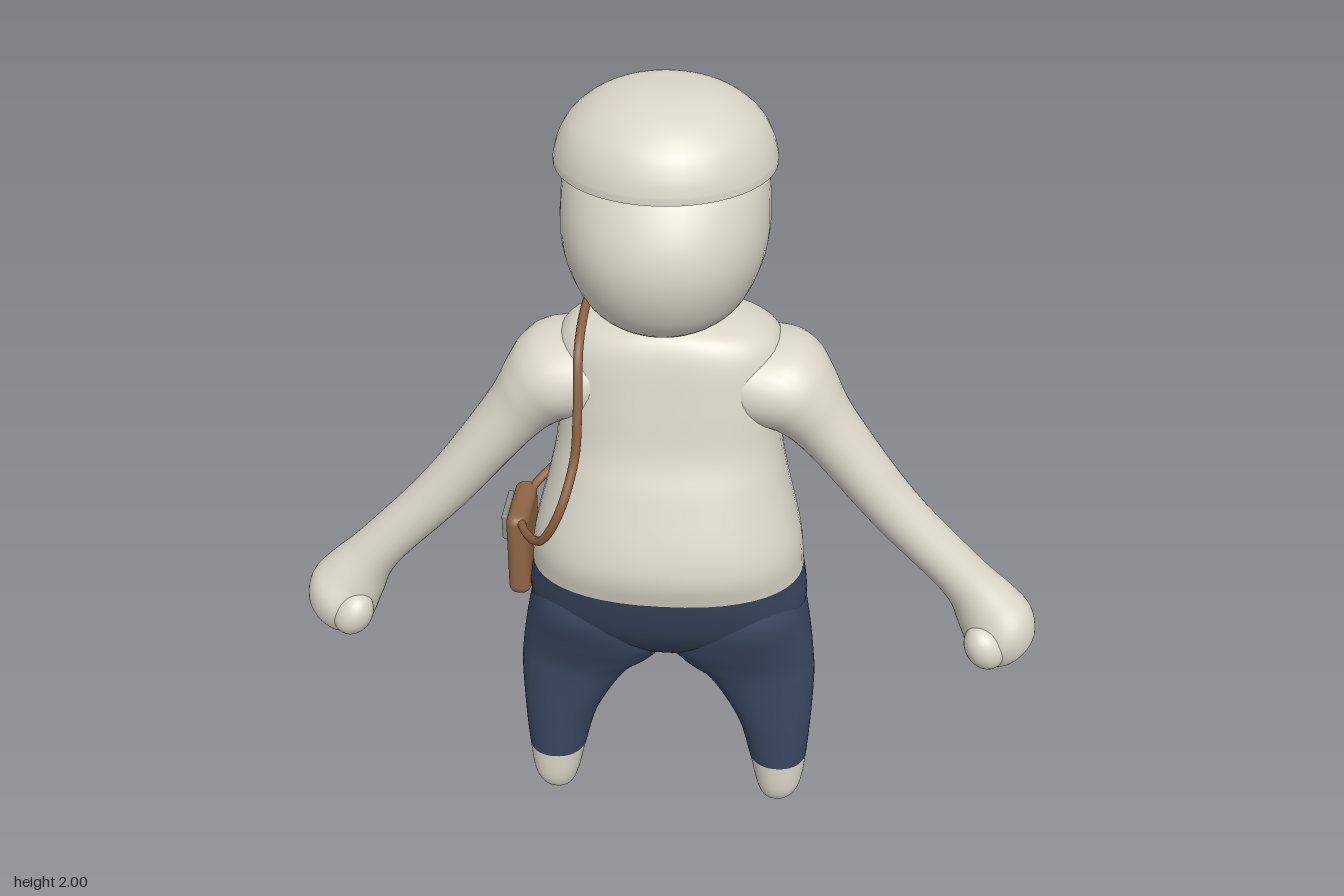
import * as THREE from 'three';
import { RoundedBoxGeometry } from 'three/addons/geometries/RoundedBoxGeometry.js';

const paint = (name, color) => {
  const m = new THREE.MeshStandardMaterial({ color });
  m.name = name;
  return m;
};

// Smooth skin through rings [x, y, z, radiusU, radiusV, squareness].
// The rings run along u x v; matOf gives the material index of each span.
function loft(rings, u, v, matOf = () => 0, sides = 48, steps = 6) {
  const centres = new THREE.CatmullRomCurve3(rings.map(r => new THREE.Vector3(r[0], r[1], r[2])), false, 'catmullrom');
  const sizes = new THREE.CatmullRomCurve3(rings.map(r => new THREE.Vector3(r[3], r[4], r[5] ?? 2)), false, 'catmullrom');
  const pow = (c, n) => Math.sign(c) * Math.abs(c) ** (2 / n);
  const pos = [], index = [], geo = new THREE.BufferGeometry();
  const rows = (rings.length - 1) * steps;
  for (let i = 0; i <= rows; i++) {
    const c = centres.getPoint(i / rows), s = sizes.getPoint(i / rows);
    for (let j = 0; j < sides; j++) {
      const a = (j / sides) * Math.PI * 2;
      const p = c.clone()
        .addScaledVector(u, Math.max(s.x, 0) * pow(Math.cos(a), s.z))
        .addScaledVector(v, Math.max(s.y, 0) * pow(Math.sin(a), s.z));
      pos.push(p.x, p.y, p.z);
    }
  }
  for (let i = 0; i < rows; i++) {
    geo.addGroup(index.length, sides * 6, matOf(Math.floor(i / steps)));
    for (let j = 0; j < sides; j++) {
      const k = (j + 1) % sides;
      const a = i * sides + j, b = i * sides + k, c = b + sides, d = a + sides;
      index.push(a, b, c, a, c, d);
    }
  }
  geo.setAttribute('position', new THREE.Float32BufferAttribute(pos, 3));
  geo.setIndex(index);
  geo.computeVertexNormals();
  return geo;
}

// Level ring given by its left/right and front/back limits
const level = (y, x0, x1, zf, zb, n) => [(x0 + x1) / 2, y, (zf + zb) / 2, (x1 - x0) / 2, (zf - zb) / 2, n];

export function createModel() {
  const model = new THREE.Group();
  const skin = paint('cream', 0xd9d6c8);
  const navy = paint('navy', 0x3a4760);
  const leather = paint('brown leather', 0x8f6444);
  const metal = paint('grey metal', 0x8c8c88);
  const add = (name, geo, mat, parent = model) => {
    const m = new THREE.Mesh(geo, mat);
    m.name = name;
    parent.add(m);
    return m;
  };
  const X = new THREE.Vector3(1, 0, 0), back = new THREE.Vector3(0, 0, -1);

  // Hips, torso, neck and head in one skin: height, half width, front, back, squareness
  const body = [
    [0.45, 0, -0.05, -0.05, 2], [0.47, 0.13, 0, -0.1, 2], [0.53, 0.27, 0.07, -0.18, 2.1],
    [0.62, 0.343, 0.13, -0.25, 2.2], [0.74, 0.335, 0.17, -0.28, 2.3], [0.84, 0.325, 0.183, -0.275, 2.3],
    [1, 0.285, 0.13, -0.27, 2.4], [1.1, 0.268, 0.09, -0.272, 2.5], [1.22, 0.268, 0.065, -0.28, 2.6],
    [1.32, 0.265, 0.045, -0.278, 2.5], [1.37, 0.225, 0.025, -0.255, 2.3], [1.395, 0.14, 0, -0.22, 2],
    [1.412, 0.072, -0.02, -0.195, 2], [1.44, 0.085, 0.04, -0.195, 2], [1.47, 0.13, 0.16, -0.203, 2],
    [1.53, 0.183, 0.245, -0.218, 2.1], [1.63, 0.222, 0.288, -0.24, 2.1], [1.73, 0.23, 0.28, -0.246, 2.1],
    [1.84, 0.213, 0.22, -0.215, 2], [1.92, 0.15, 0.14, -0.13, 2], [1.95, 0, 0.01, 0.01, 2],
  ];
  add('body', loft(body.map(([y, r, f, b, n]) => level(y, -r, r, f, b, n)), X, back, s => (s < 4 ? 1 : 0)), [skin, navy]);

  // Cap
  const dome = new THREE.SplineCurve([[0.243, 1.845], [0.232, 1.885], [0.205, 1.93], [0.15, 1.972], [0.08, 1.994], [0, 2]]
    .map(p => new THREE.Vector2(...p))).getPoints(24);
  const cap = add('cap', new THREE.LatheGeometry([new THREE.Vector2(0.243, 1.832), ...dome], 48), skin);
  cap.position.z = 0.02;
  const brim = add('capUnderside', new THREE.CircleGeometry(0.243, 48), skin);
  brim.position.set(0, 1.832, 0.02);
  brim.rotation.x = Math.PI / 2;

  for (const [name, s] of [['left', 1], ['right', -1]]) {
    // Trouser leg with bare foot: height, inner, outer, front, back
    const leg = [
      [0.004, 0.29, 0.29, -0.035, -0.035], [0.008, 0.255, 0.325, 0.01, -0.08], [0.05, 0.236, 0.352, 0.038, -0.106],
      [0.14, 0.215, 0.364, 0.045, -0.12], [0.27, 0.178, 0.372, 0.05, -0.125], [0.4, 0.1, 0.375, 0.055, -0.132],
      [0.46, 0.025, 0.371, 0.065, -0.15], [0.53, -0.02, 0.362, 0.09, -0.19], [0.62, 0.02, 0.345, 0.115, -0.235],
      [0.7, 0.06, 0.32, 0.1, -0.2],
    ].map(([y, a, b, f, k]) => level(y, Math.min(s * a, s * b), Math.max(s * a, s * b), f, k, 2.2));
    add(name + 'Leg', loft(leg, X, back, i => (i < 3 ? 0 : 1)), [skin, navy]);

    // Arm and mitten hand: centre, thickness across, thickness in depth
    const arm = [
      [0.1, 1.28, -0.115, 0.09, 0.13], [0.2, 1.245, -0.11, 0.135, 0.15], [0.265, 1.22, -0.1, 0.125, 0.145],
      [0.32, 1.185, -0.085, 0.098, 0.118], [0.385, 1.11, -0.068, 0.076, 0.088], [0.55, 0.91, -0.045, 0.064, 0.066],
      [0.72, 0.735, -0.035, 0.062, 0.064], [0.785, 0.65, -0.028, 0.083, 0.077], [0.825, 0.59, -0.022, 0.096, 0.093],
      [0.855, 0.545, -0.025, 0.08, 0.08], [0.87, 0.526, -0.027, 0.05, 0.05], [0.877, 0.518, -0.028, 0, 0],
    ].map(([x, ...rest]) => [s * x, ...rest]);
    add(name + 'Arm', loft(arm, new THREE.Vector3(s * 0.72, 0.69, 0), new THREE.Vector3(0, 0, s), undefined, 36), skin);
    const thumb = add(name + 'Thumb', new THREE.SphereGeometry(1, 24, 16), skin);
    thumb.scale.set(0.048, 0.062, 0.05);
    thumb.position.set(s * 0.787, 0.575, 0.042);
    thumb.rotation.z = s * 0.5;
  }

  // Shoulder bag on the right hip
  const bag = new THREE.Group();
  bag.name = 'shoulderBag';
  model.add(bag);
  add('pouch', new RoundedBoxGeometry(0.055, 0.23, 0.19, 4, 0.022), leather, bag).position.set(-0.372, 0.73, -0.105);
  add('clasp', new RoundedBoxGeometry(0.014, 0.07, 0.12, 2, 0.005), metal, bag).position.set(-0.409, 0.79, -0.115);
  const path = new THREE.CatmullRomCurve3([
    [-0.2, 1.392, -0.12], [-0.2, 1.355, 0.025], [-0.2, 1.2, 0.08], [-0.207, 1.1, 0.098], [-0.24, 0.98, 0.145],
    [-0.29, 0.88, 0.12], [-0.35, 0.835, 0.01], [-0.37, 0.825, -0.1], [-0.35, 0.835, -0.19], [-0.28, 0.89, -0.265],
    [-0.222, 1.02, -0.285], [-0.2, 1.2, -0.285], [-0.2, 1.34, -0.27],
  ].map(p => new THREE.Vector3(...p)), true);
  add('strap', new THREE.TubeGeometry(path, 120, 0.011, 8, true), leather, bag);

  return model;
}
